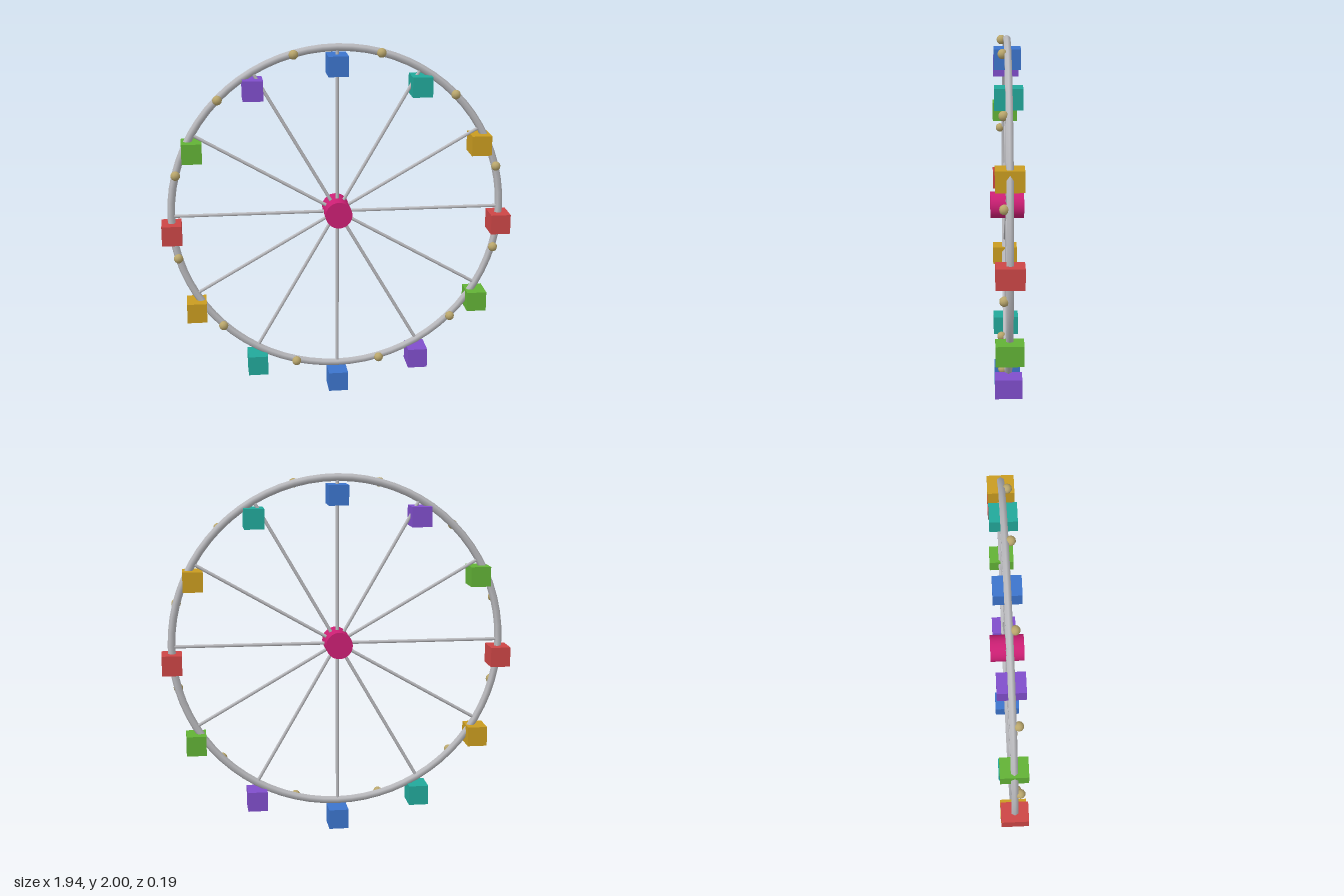
import * as THREE from 'three';

const material = (name, color) => {
  const m = new THREE.MeshStandardMaterial({ color });
  m.name = name;
  return m;
};

export function createModel() {
  const wheel = new THREE.Group();
  wheel.name = 'ferrisWheel';

  const steel = material('steel grey', 0xbcbcc0);
  const magenta = material('hub magenta', 0xcc1f74);
  const brass = material('lamp brass', 0xb9a66c);
  // Cabin paints, clockwise from the top
  const paints = [
    material('blue', 0x3c74cc),
    material('teal', 0x22a89a),
    material('gold', 0xc99c20),
    material('red', 0xcc4646),
    material('green', 0x62b236),
    material('purple', 0x804ecb),
  ];

  const R = 0.915;        // rim centre-line radius
  const hubY = 1.064;
  const count = 12;
  const hang = 0.093;     // cabins hang below their rim points

  const add = (name, geometry, mat, x, y, z) => {
    const mesh = new THREE.Mesh(geometry, mat);
    mesh.name = name;
    mesh.position.set(x, y, z);
    wheel.add(mesh);
    return mesh;
  };

  // Six-sided rim tube
  add('rim', new THREE.TorusGeometry(R, 0.021, 6, 72), steel, 0, hubY, 0);

  // Hub drum along z
  const hub = new THREE.CylinderGeometry(0.074, 0.074, 0.187, 32).rotateX(Math.PI / 2);
  add('hub', hub, magenta, 0, hubY, 0);

  const spoke = new THREE.CylinderGeometry(0.0092, 0.0092, R, 8).translate(0, R / 2, 0);
  const cabin = new THREE.BoxGeometry(0.11, 0.11, 0.147);
  const lamp = new THREE.SphereGeometry(0.026, 10, 8);

  for (let i = 0; i < count; i++) {
    // Angle measured clockwise from the top
    const a = (i / count) * Math.PI * 2;
    add('spoke', spoke, steel, 0, hubY, 0).rotation.z = -a;
    add('cabin', cabin, paints[i % paints.length],
      R * Math.sin(a), hubY + R * Math.cos(a) - hang, 0);

    // Lamps sit on the front of the rim, midway between spokes
    const b = a + Math.PI / count;
    add('lamp', lamp, brass, R * Math.sin(b), hubY + R * Math.cos(b), 0.029);
  }
  return wheel;
}
